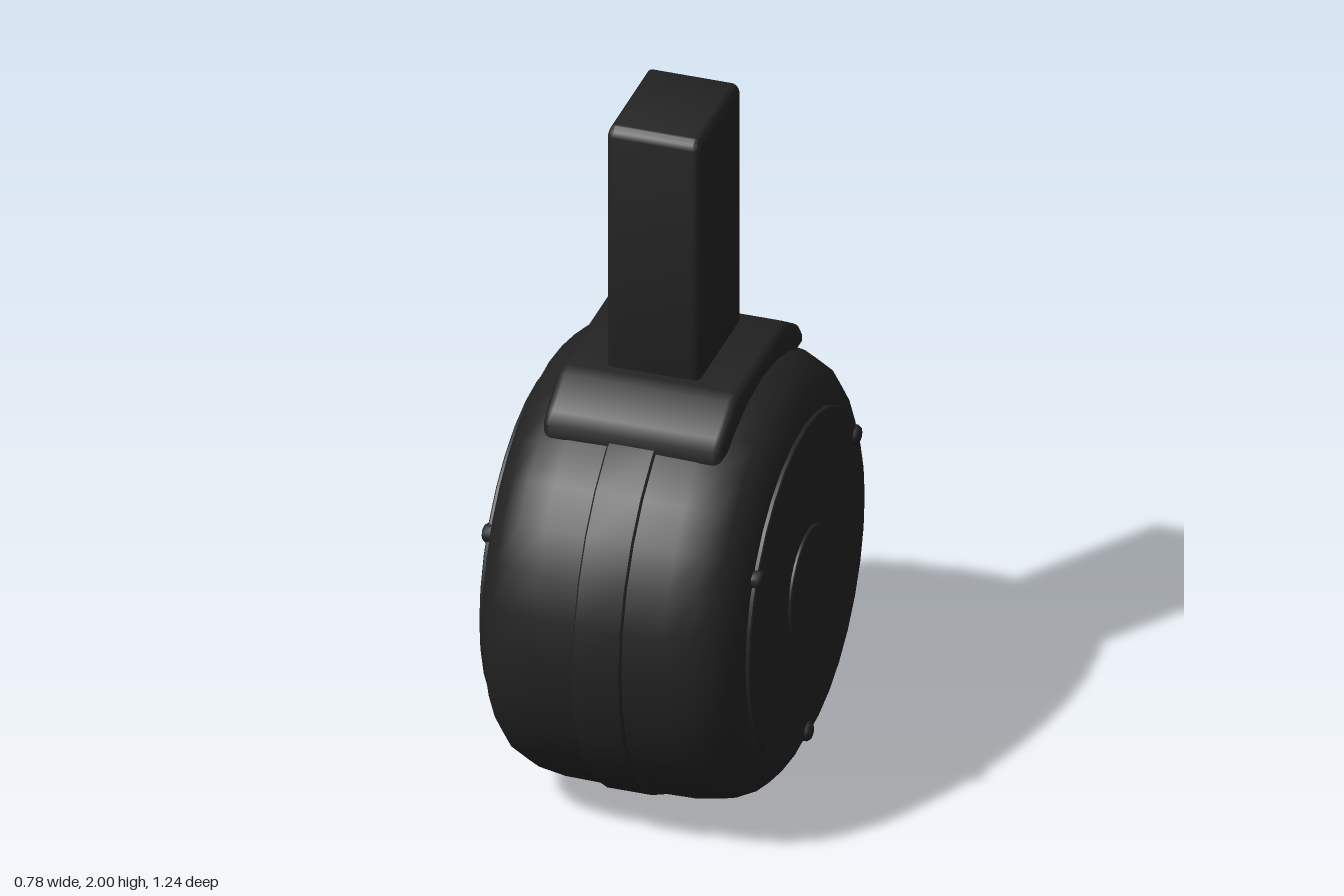
import * as THREE from 'three';
import { RoundedBoxGeometry } from 'three/addons/geometries/RoundedBoxGeometry.js';
import { toCreasedNormals } from 'three/addons/utils/BufferGeometryUtils.js';

const CENTRE_Y = 0.625;
const SEGMENTS = 32;

export function createModel() {
  const model = new THREE.Group();
  const black = new THREE.MeshStandardMaterial({ color: 0x222222 });
  black.name = 'matte black';

  const add = (name, geometry, x = 0, y = 0, z = 0) => {
    const mesh = new THREE.Mesh(geometry, black);
    mesh.name = name;
    mesh.position.set(x, y, z);
    model.add(mesh);
    return mesh;
  };

  // Solid turned about the x axis; profile points are [radius, x] with x rising
  const turned = (profile, segments = SEGMENTS, crease = 0.6) => {
    const points = profile.map(([r, x]) => new THREE.Vector2(r, x));
    const geometry = new THREE.LatheGeometry(points, segments).rotateZ(-Math.PI / 2);
    return toCreasedNormals(geometry, crease);
  };
  const mirrored = (half) => [...half.map(([r, x]) => [r, -x]), ...half.slice().reverse()];

  // Rounded drum body
  add('drum', turned(mirrored([
    [0, 0.363], [0.475, 0.363], [0.495, 0.358], [0.535, 0.34], [0.572, 0.308],
    [0.598, 0.255], [0.61, 0.18], [0.612, 0.07],
  ])), 0, CENTRE_Y);

  // Raised band around the middle
  add('centreBand', turned(mirrored([[0.6, 0.067], [0.616, 0.067], [0.621, 0.062]])), 0, CENTRE_Y);

  // Side plates, hubs and bolts on both faces
  for (const side of [1, -1]) {
    const sideName = side > 0 ? 'left' : 'right';
    const disc = (name, radius, inner, outer) => {
      const part = add(sideName + name, turned([
        [radius, inner], [radius, outer - 0.003], [radius - 0.003, outer], [0, outer],
      ]), 0, CENTRE_Y);
      if (side < 0) part.rotation.y = Math.PI;
    };
    disc('Plate', 0.47, 0.35, 0.375);
    disc('Hub', 0.157, 0.37, 0.384);

    for (let i = 0; i < 3; i++) {
      const angle = -Math.PI / 2 + (i * Math.PI * 2) / 3;
      const bolt = add(sideName + 'Bolt', turned([
        [0.027, 0.355], [0.027, 0.378], [0.021, 0.386], [0.012, 0.389], [0, 0.389],
      ], 12, 0.9), 0, CENTRE_Y + Math.sin(angle) * 0.455, Math.cos(angle) * 0.455);
      if (side < 0) bolt.rotation.y = Math.PI;
    }
  }

  // Sloped collar: side outline (z, y) extruded across x with a soft bevel
  const bevel = 0.025;
  const outline = new THREE.Shape([
    [-0.32, 1.1], [0.305, 1.1], [0.305, 1.165], [0.29, 1.185],
    [0.2, 1.24], [0.175, 1.25], [-0.2, 1.25], [-0.22, 1.24], [-0.305, 1.185], [-0.32, 1.165],
  ].map(([z, y]) => new THREE.Vector2(-z, y)).reverse());
  const width = 0.5;
  const collar = new THREE.ExtrudeGeometry(outline, {
    depth: width - 2 * bevel, bevelEnabled: true, bevelThickness: bevel,
    bevelSize: bevel, bevelSegments: 4, curveSegments: 4,
  });
  collar.translate(0, 0, -width / 2 + bevel).rotateY(Math.PI / 2);
  // Lift the underside so the collar sits on the drum
  const p = collar.attributes.position;
  for (let i = 0; i < p.count; i++) if (p.getY(i) < 1.13) p.setY(i, p.getY(i) + 0.06);
  add('collar', toCreasedNormals(collar, 0.7));

  // Upright feed tower
  const tower = new RoundedBoxGeometry(0.258, 0.9, 0.35, 4, 0.02);
  // Widen the rounding of the top front and back edges
  const q = tower.attributes.position;
  for (let i = 0; i < q.count; i++) {
    const rise = q.getY(i) - 0.43;
    if (rise > 0) q.setZ(i, q.getZ(i) * (1 - 0.07 * (rise / 0.02) ** 2));
    if (rise > -0.001) q.setY(i, 0.41 + (q.getY(i) - 0.43) * 2);
  }
  add('tower', toCreasedNormals(tower, 0.7), -0.002, 1.55, -0.02);

  return model;
}
